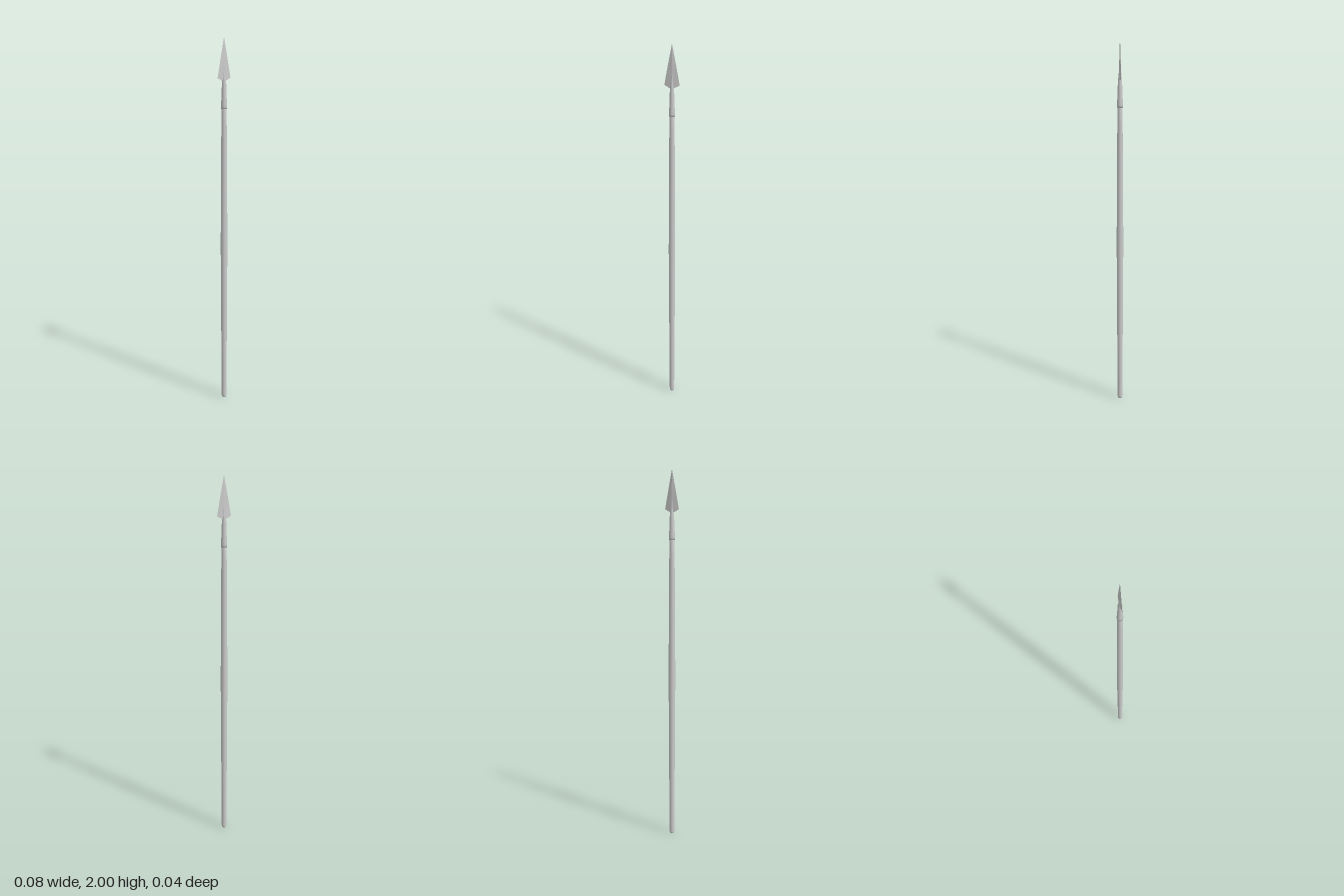
import * as THREE from 'three';

const grey = () => new THREE.MeshStandardMaterial({ color: 0xcccccc });

// Turned part from [radius, height] pairs
function turned(name, profile, sides = 12) {
  const points = profile.map(([r, y]) => new THREE.Vector2(r, y));
  const mesh = new THREE.Mesh(new THREE.LatheGeometry(points, sides), grey());
  mesh.name = name;
  return mesh;
}

// Flat-faceted blade: diamond cross-sections [y of edges, y of ridge, half width, half thickness]
function bladeGeometry() {
  const sections = [
    [1.797, 1.778, 0.04, 0.005],
    [1.9, 1.9, 0.0203, 0.0035],
    [2, 2, 0, 0],
  ];
  const rings = sections.map(([ye, yr, w, t]) => [
    [w, ye, 0], [0, yr, t], [-w, ye, 0], [0, yr, -t],
  ]);
  const pos = [];
  for (let s = 0; s < rings.length - 1; s++) {
    for (let i = 0; i < 4; i++) {
      const j = (i + 1) % 4;
      const a = rings[s][i], b = rings[s][j], c = rings[s + 1][j], d = rings[s + 1][i];
      pos.push(...a, ...d, ...b);
      if (s < rings.length - 2) pos.push(...b, ...d, ...c);
    }
  }
  // Underside of the barbs
  const [l, f, r, k] = rings[0];
  pos.push(...l, ...f, ...k, ...f, ...r, ...k);
  const g = new THREE.BufferGeometry();
  g.setAttribute('position', new THREE.Float32BufferAttribute(pos, 3));
  g.computeVertexNormals();
  return g;
}

export function createModel() {
  const spear = new THREE.Group();
  spear.name = 'spear';

  // Wooden shaft, swelling gently towards the middle, with a rounded butt
  spear.add(turned('shaft', [
    [0, 0], [0.009, 0.001], [0.0125, 0.006], [0.0135, 0.015], [0.0145, 0.2],
    [0.0165, 0.55], [0.0182, 0.9], [0.0165, 1.25], [0.0142, 1.55], [0.013, 1.67], [0, 1.67],
  ]));

  // Metal socket, narrowing to a spine that runs into the blade
  spear.add(turned('socket', [
    [0, 1.64], [0.0145, 1.64], [0.0155, 1.65], [0.015, 1.67], [0.0125, 1.72],
    [0.011, 1.78], [0.0075, 1.8], [0.0045, 1.85], [0, 1.93],
  ]));

  const blade = new THREE.Mesh(bladeGeometry(), grey());
  blade.name = 'blade';
  blade.material.side = THREE.DoubleSide;
  blade.material.flatShading = true;
  spear.add(blade);

  return spear;
}
